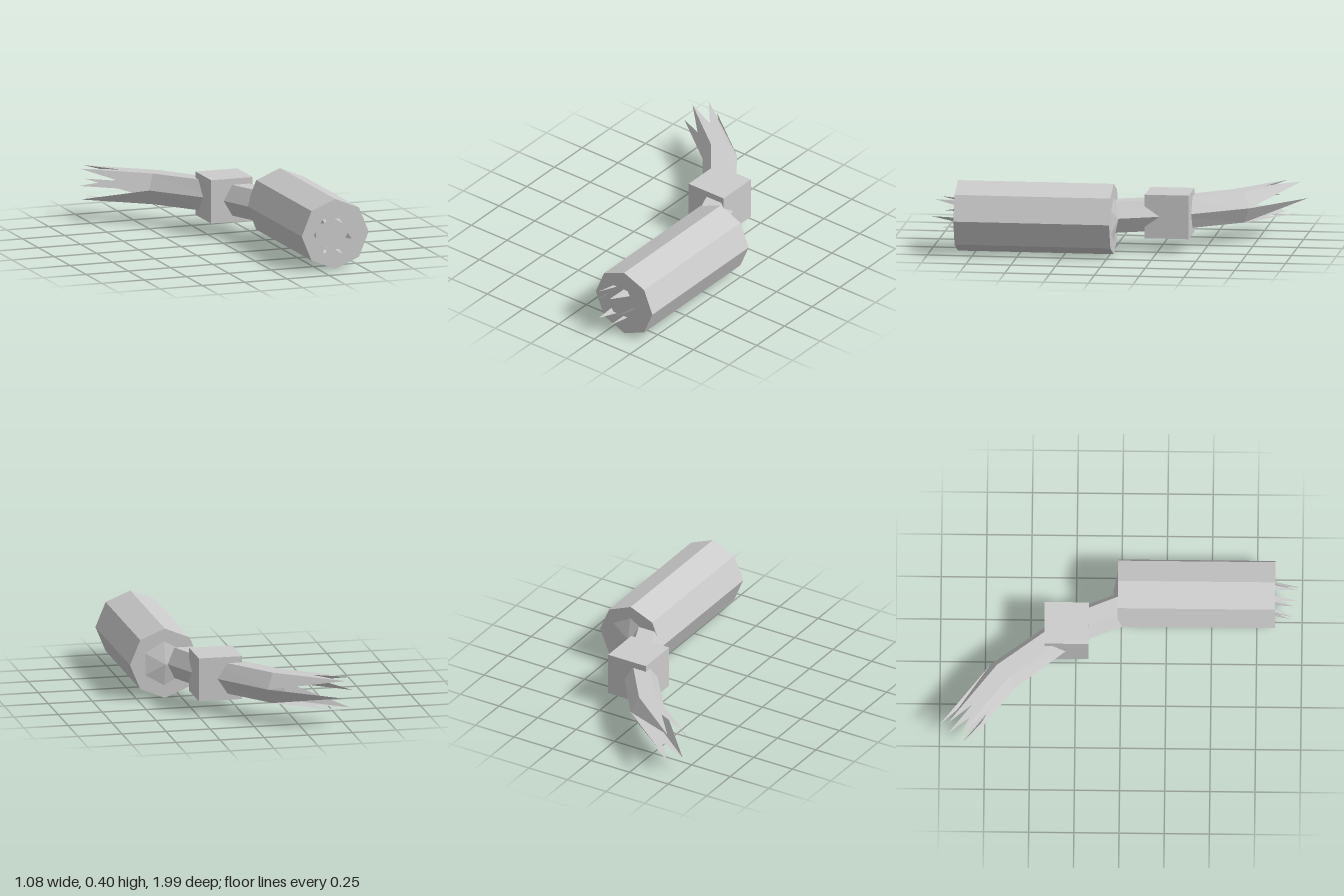
import * as THREE from 'three';

const MID = 0.2, HALF = 0.087;

// Hexagonal ring standing upright between a left and a right point [x, z]
function ring([lx, lz], [rx, rz]) {
  return Array.from({ length: 6 }, (_, k) => {
    const a = (k * Math.PI) / 3, t = (1 - Math.cos(a)) / 2;
    const y = MID + HALF * Math.sin(a) / Math.sin(Math.PI / 3);
    return [lx + (rx - lx) * t, y, lz + (rz - lz) * t];
  });
}

function flatMesh(name, geometry, material) {
  const mesh = new THREE.Mesh(geometry, material);
  mesh.name = name;
  return mesh;
}

function fromTriangles(tris) {
  const g = new THREE.BufferGeometry();
  g.setAttribute('position', new THREE.Float32BufferAttribute(tris.flat(2), 3));
  g.computeVertexNormals();
  return g;
}

// Hexagonal tube through a list of rings
function tube(rings) {
  const tris = [];
  for (let i = 0; i + 1 < rings.length; i++) {
    for (let k = 0; k < 6; k++) {
      const n = (k + 1) % 6, p = rings[i], q = rings[i + 1];
      tris.push([p[k], p[n], q[n]], [p[k], q[n], q[k]]);
    }
  }
  return fromTriangles(tris);
}

// Crown of pointed claws: each side of the base ring runs out to the tips
function claws(base, tips, flip) {
  const tris = [];
  const add = (a, b, c) => tris.push(flip ? [b, a, c] : [a, b, c]);
  for (let k = 0; k < 6; k++) {
    const n = (k + 1) % 6;
    add(base[k], base[n], tips[k]);
    // the two lower corner sides and one upper side have a single blade
    if (k === 0 || k === 1 || k === 4) add(base[k], base[n], tips[n]);
  }
  return fromTriangles(tris);
}

export function createModel() {
  const group = new THREE.Group();
  const solid = new THREE.MeshStandardMaterial({ color: 0xcccccc, flatShading: true });
  const thin = new THREE.MeshStandardMaterial({ color: 0xcccccc, flatShading: true, side: THREE.DoubleSide });

  // Eight-sided barrel lying along z
  const barrel = new THREE.CylinderGeometry(0.198, 0.198, 0.87, 8);
  barrel.rotateX(Math.PI / 2);
  barrel.translate(0.342, 0.2, 0.415);
  group.add(flatMesh('barrel', barrel, solid));

  // Shallow faceted bump on the back of the barrel
  const bump = new THREE.ConeGeometry(0.13, 0.027, 6);
  bump.rotateX(-Math.PI / 2);
  bump.translate(0.345, 0.2, -0.0325);
  group.add(flatMesh('backBump', bump, solid));

  // Cube around the joint of the arm
  const cube = new THREE.BoxGeometry(0.245, 0.245, 0.245);
  cube.translate(0.118, 0.2, -0.302);
  group.add(flatMesh('jointCube', cube, solid));

  // Bent arm running from inside the barrel, through the cube, to the wrist
  const innerWrist = ring([0.295, 0.52], [0.48, 0.565]);
  const wrist = ring([-0.22, -0.58], [-0.085, -0.72]);
  const arm = [
    innerWrist,
    ring([0.15, 0.02], [0.335, -0.035]),
    ring([0.042, -0.247], [0.22, -0.31]),
    wrist,
  ];
  group.add(flatMesh('arm', tube(arm), thin));

  // Claws at the free end, and those poking through the barrel front
  const outerTips = ring([-0.54, -0.83], [-0.445, -1.0]);
  const innerTips = ring([0.195, 0.94], [0.385, 0.99]);
  group.add(flatMesh('outerClaws', claws(wrist, outerTips, false), thin));
  group.add(flatMesh('innerClaws', claws(innerWrist, innerTips, true), thin));

  return group;
}
